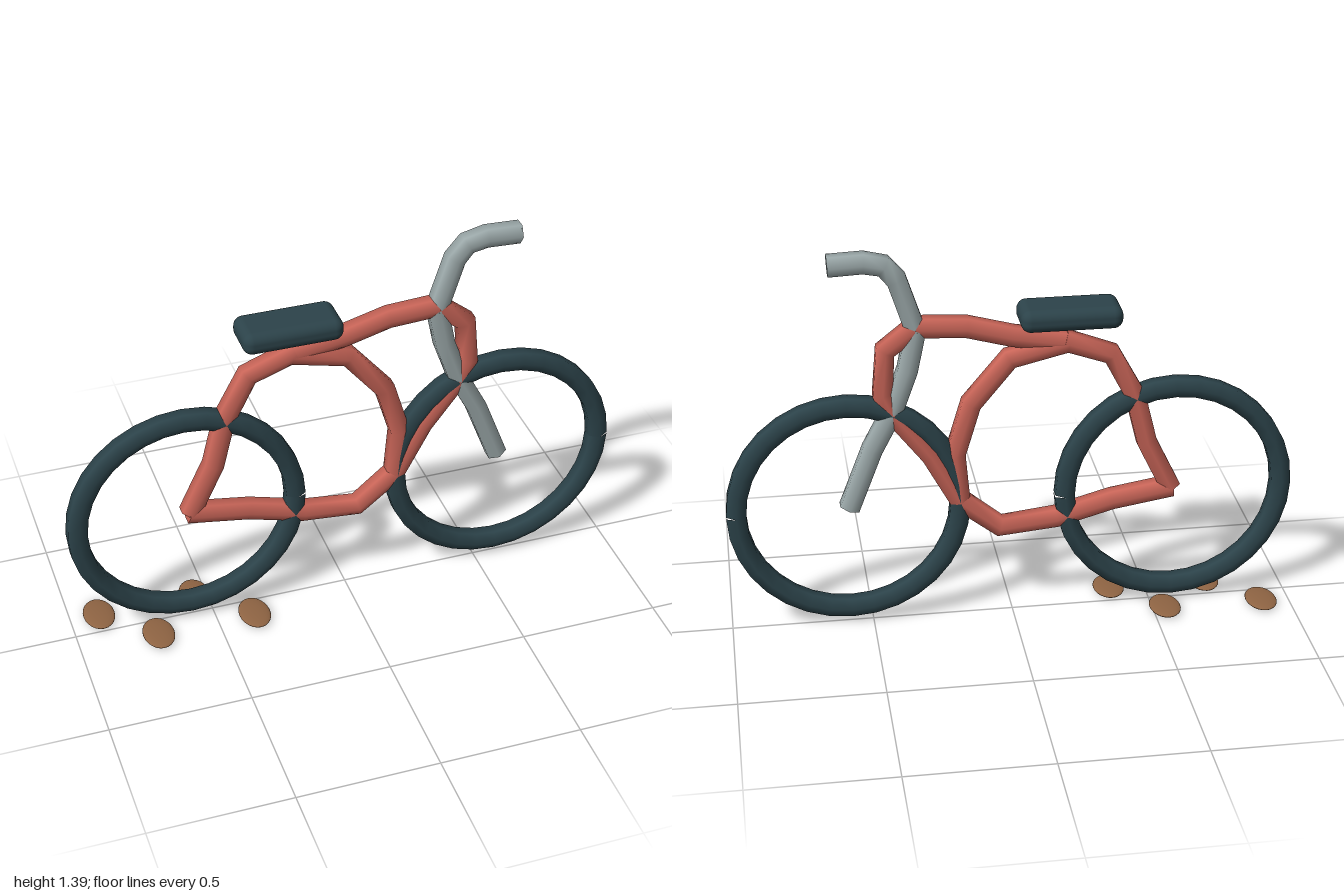
import * as THREE from 'three';
import { RoundedBoxGeometry } from 'three/addons/geometries/RoundedBoxGeometry.js';

const TUBE_RADIUS = 0.04;

function material(name, color) {
  const m = new THREE.MeshStandardMaterial({ color });
  m.name = name;
  return m;
}

// Six-sided tube through [x, y] points, with one ring at every point
function pathTube(points, closedEnds, name, mat) {
  const group = new THREE.Group();
  group.name = name;
  const curve = new THREE.CatmullRomCurve3(points.map(([x, y]) => new THREE.Vector3(x, y, 0)));
  curve.getUtoTmapping = (u) => u;
  const tube = new THREE.Mesh(new THREE.TubeGeometry(curve, points.length - 1, TUBE_RADIUS, 6), mat);
  tube.name = name + 'Tube';
  group.add(tube);
  if (closedEnds) {
    for (const t of [0, 1]) {
      const cap = new THREE.Mesh(new THREE.CylinderGeometry(TUBE_RADIUS, TUBE_RADIUS, 0.004, 6), mat);
      const dir = curve.getTangent(t);
      cap.position.copy(curve.getPoint(t));
      cap.rotation.z = Math.atan2(dir.y, dir.x) - Math.PI / 2;
      cap.name = name + 'EndCap';
      group.add(cap);
    }
  }
  return group;
}

export function createModel() {
  const model = new THREE.Group();
  model.name = 'bicycle';
  const dark = material('darkRubber', 0x2c434a);
  const red = material('redPaint', 0xc96558);
  const grey = material('greyMetal', 0x9ca9aa);
  const brown = material('brownEarth', 0x8f6443);

  // Wheels: a ring each, with its seam facing +x
  for (const [name, cx] of [['rearWheel', -0.575], ['frontWheel', 0.575]]) {
    const ring = [];
    for (let i = 0; i <= 32; i++) {
      const a = (i / 32) * Math.PI * 2;
      ring.push([cx + 0.39 * Math.cos(a), 0.452 + 0.39 * Math.sin(a)]);
    }
    model.add(pathTube(ring, false, name, dark));
  }

  // Frame tubes
  const frame = {
    seatStay: [[-0.565, 0.455], [-0.475, 0.64], [-0.43, 0.82], [-0.344, 0.98], [-0.18, 1.04]],
    topTube: [[-0.19, 1.035], [0, 1.068], [0.155, 1.11], [0.33, 1.12]],
    headTube: [[0.33, 1.12], [0.435, 1.04], [0.447, 0.88], [0.416, 0.81]],
    downTube: [[0.416, 0.81], [0.285, 0.64], [0.185, 0.455]],
    seatTube: [[-0.19, 1.035], [0.01, 0.985], [0.144, 0.824], [0.2, 0.637], [0.185, 0.455]],
    chainStay: [[0.185, 0.455], [0.045, 0.343], [-0.155, 0.364], [-0.355, 0.42], [-0.57, 0.455]],
  };
  for (const [name, points] of Object.entries(frame)) model.add(pathTube(points, true, name, red));

  // Fork and handlebar
  model.add(pathTube([[0.572, 0.455], [0.487, 0.675], [0.416, 0.81], [0.36, 0.965], [0.33, 1.11]], true, 'fork', grey));
  model.add(pathTube([[0.33, 1.11], [0.39, 1.295], [0.432, 1.345], [0.5, 1.36], [0.618, 1.355]], true, 'handlebar', grey));

  // Saddle
  const saddle = new THREE.Mesh(new RoundedBoxGeometry(0.35, 0.08, 0.168, 4, 0.034), dark);
  saddle.position.set(-0.197, 1.137, 0);
  saddle.name = 'saddle';
  model.add(saddle);

  // Flat footprints trailing on the ground, alternating sides
  [-0.897, -0.72, -0.543, -0.367].forEach((x, i) => {
    const print = new THREE.Mesh(new THREE.SphereGeometry(1, 24, 12), brown);
    print.scale.set(0.056, 0.01, 0.084);
    print.position.set(x, 0.013, i % 2 ? 0.084 : -0.084);
    print.name = 'footprint';
    model.add(print);
  });

  return model;
}
